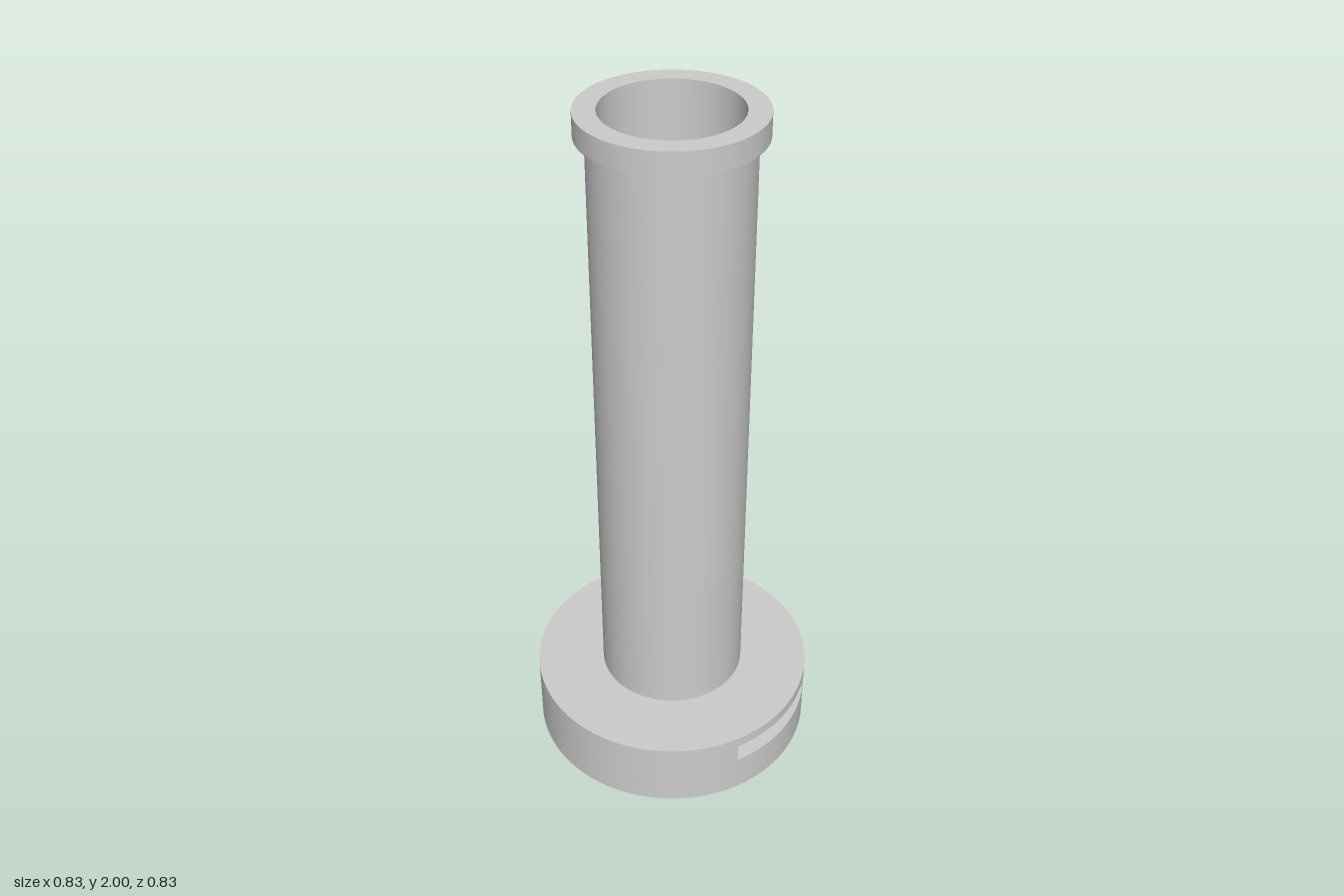
import * as THREE from 'three';
import { toCreasedNormals } from 'three/addons/utils/BufferGeometryUtils.js';

const SEG = 96;
const BASE_R = 0.413, BORE_R = 0.182, TUBE_R = 0.213, COLLAR_R = 0.241;
const FLOOR = 0.115, CEILING = 0.175, BASE_TOP = 0.207, COLLAR_Y = 1.937, TOP = 2;
const BACK_HALF = 0.1; // half width of the narrow rear slot

const material = new THREE.MeshStandardMaterial({ color: 0xcccccc });

function part(name, geometry) {
  const mesh = new THREE.Mesh(toCreasedNormals(geometry, 0.5), material);
  mesh.name = name;
  return mesh;
}

// Revolved profile, listed from the lower inside outwards, up and back in
function turned(name, points) {
  return part(name, new THREE.LatheGeometry(points.map(([r, y]) => new THREE.Vector2(r, y)), SEG));
}

// Points on an arc about the axis; angle 0 is +x, positive towards the back
function arc(radius, from, to, steps) {
  return Array.from({ length: steps + 1 }, (_, i) => {
    const a = from + (to - from) * i / steps;
    return new THREE.Vector2(radius * Math.cos(a), radius * Math.sin(a));
  });
}

// Wall on one side of the slots: wide in front, rounded by the bore, narrow behind
function slotWall(name, side) {
  const outline = [
    ...arc(BASE_R, -Math.acos(BORE_R / BASE_R), Math.acos(BACK_HALF / BASE_R), 40),
    ...arc(BORE_R, Math.acos(BACK_HALF / BORE_R), 0, 16),
  ].map((p) => new THREE.Vector2(p.x * side, p.y));
  const geometry = new THREE.ExtrudeGeometry(new THREE.Shape(outline), {
    depth: CEILING - FLOOR, bevelEnabled: false,
  });
  geometry.rotateX(-Math.PI / 2).translate(0, FLOOR, 0);
  return part(name, geometry);
}

export function createModel() {
  const model = new THREE.Group();
  model.name = 'tubeDispenser';

  // Base: solid plate, two walls around the slots, ring above them
  const base = new THREE.Group();
  base.name = 'base';
  const plate = new THREE.CylinderGeometry(BASE_R, BASE_R, FLOOR, SEG).translate(0, FLOOR / 2, 0);
  base.add(
    part('basePlate', plate),
    slotWall('leftSlotWall', 1),
    slotWall('rightSlotWall', -1),
    turned('baseRing', [
      [BORE_R, CEILING], [BASE_R, CEILING], [BASE_R, BASE_TOP], [TUBE_R, BASE_TOP],
    ]),
  );

  // Hollow tube, its bore running down to the slot ceiling
  const tube = new THREE.Group();
  tube.name = 'tube';
  tube.add(
    turned('tubeWall', [[TUBE_R, BASE_TOP], [TUBE_R, COLLAR_Y]]),
    turned('tubeBore', [[BORE_R, TOP], [BORE_R, CEILING]]),
  );

  // Collar around the mouth
  const collar = turned('collar', [
    [TUBE_R, COLLAR_Y], [COLLAR_R, COLLAR_Y], [COLLAR_R, TOP], [BORE_R, TOP],
  ]);

  model.add(base, tube, collar);
  return model;
}
